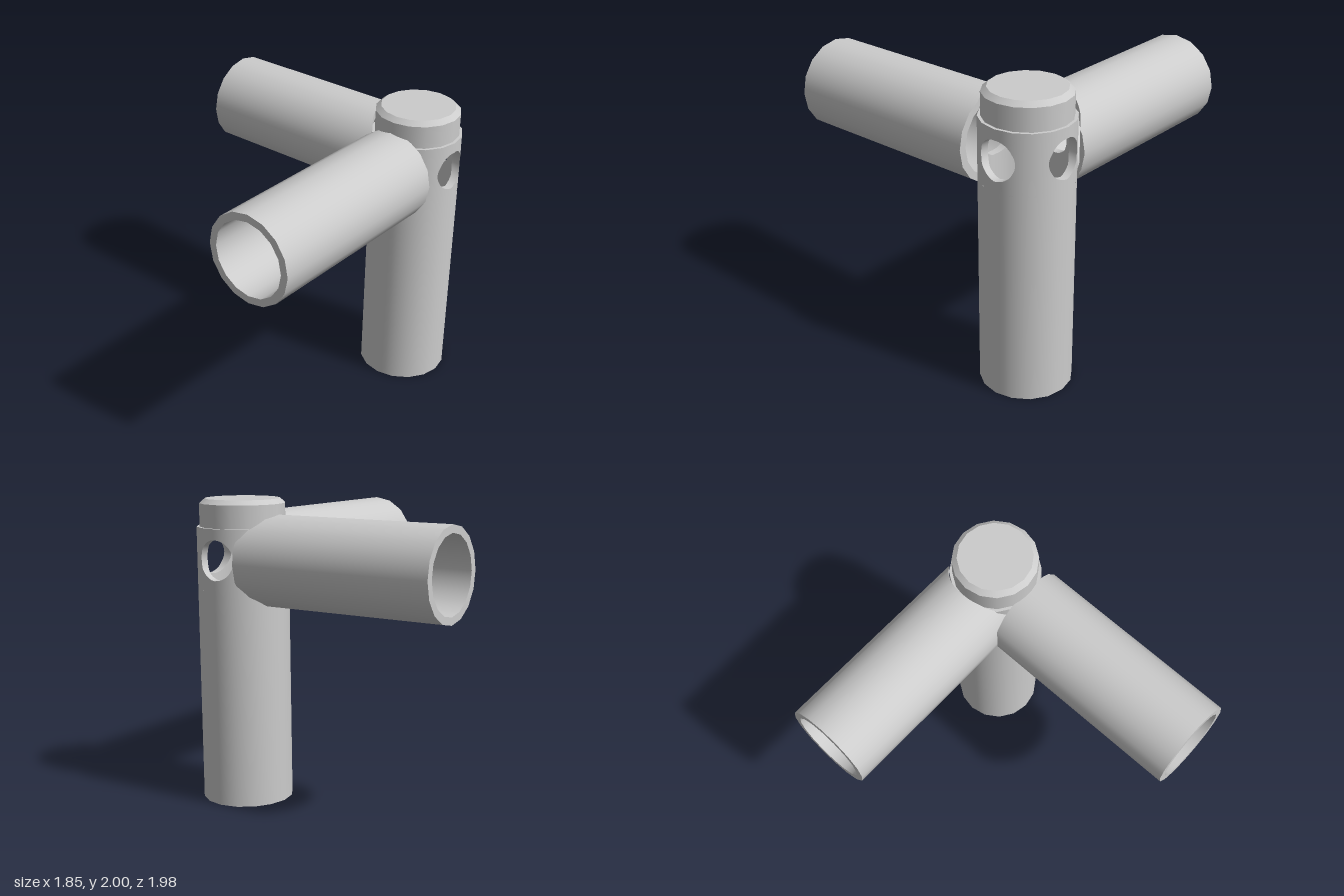
import * as THREE from 'three';

const SIDES = 16, R = 0.3, RI = 0.25, LENGTH = 1.4;
const POST = [0.62, 0, -0.68], POST_TOP = 1.82, ARM_Y = 1.605;
const HOLE_Y = 1.62, HOLE_R = 0.13, PANEL = 0.2;
const material = new THREE.MeshStandardMaterial({ color: 0xcccccc, side: THREE.DoubleSide });

// Closed strip between two loops; radial = 1 / -1 gives smooth outward / inward tube normals
function band(name, from, to, n, rows = 1, radial = 0, project = p => p) {
  const pos = [], index = [];
  for (let j = 0; j <= rows; j++) {
    for (let i = 0; i < n; i++) {
      const p = new THREE.Vector3(...from(i / n)).lerp(new THREE.Vector3(...to(i / n)), j / rows);
      pos.push(...project(p).toArray());
      if (j === rows) continue;
      const a = j * n + i, b = j * n + (i + 1) % n;
      index.push(a, a + n, b, b, a + n, b + n);
    }
  }
  const g = new THREE.BufferGeometry();
  g.setAttribute('position', new THREE.Float32BufferAttribute(pos, 3));
  g.setIndex(index);
  g.computeVertexNormals();
  if (radial) {
    const p = g.attributes.position, v = new THREE.Vector3();
    for (let i = 0; i < p.count; i++) {
      v.set(p.getX(i), 0, p.getZ(i)).normalize().multiplyScalar(radial);
      g.attributes.normal.setXYZ(i, v.x, v.y, v.z);
    }
  }
  const mesh = new THREE.Mesh(g, material);
  mesh.name = name;
  return mesh;
}

// Upright pipe whose top height follows the rule end(x, z)
function pipe(name, end, openTop = false) {
  const sub = 4, n = SIDES * sub;
  const loop = (r, height) => u => {
    const k = Math.floor(u * SIDES + 1e-9), f = u * SIDES - k, step = 2 * Math.PI / SIDES;
    const x = r * THREE.MathUtils.lerp(Math.cos(k * step), Math.cos((k + 1) * step), f);
    const z = r * THREE.MathUtils.lerp(Math.sin(k * step), Math.sin((k + 1) * step), f);
    return [x, height(x, z), z];
  };
  const zero = () => 0;
  const group = new THREE.Group();
  group.name = name;
  group.add(
    band('outerWall', loop(R, zero), loop(R, end), n, 1, 1),
    band('innerWall', loop(RI, end), loop(RI, zero), n, 1, -1),
    band('openRim', loop(RI, zero), loop(R, zero), n));
  if (!openTop) group.add(band('jointRim', loop(R, end), loop(RI, end), n));
  return group;
}

// Quarter of the pipe wall, facing +x, with a round drilled hole
function drilledPanel() {
  const depth = (r, s) => {
    const step = 2 * Math.PI / SIDES, t = Math.abs(s) / r;
    const k = t > Math.sin(step) ? 1 : 0;
    const s0 = Math.sin(k * step), s1 = Math.sin((k + 1) * step);
    return r * THREE.MathUtils.lerp(Math.cos(k * step), Math.cos((k + 1) * step), (t - s0) / (s1 - s0));
  };
  const hole = r => u => {
    const t = 2 * Math.PI * u, s = HOLE_R * Math.cos(t);
    return [depth(r, s), HOLE_Y - HOLE_R * Math.sin(t), s];
  };
  const border = r => u => {
    const c = Math.cos(2 * Math.PI * u), s = Math.sin(2 * Math.PI * u);
    const m = Math.max(Math.abs(c), Math.abs(s)), z = r * Math.SQRT1_2 * c / m;
    return [depth(r, z), HOLE_Y - PANEL * s / m, z];
  };
  const bend = r => p => p.setX(depth(r, p.z));
  const group = new THREE.Group();
  group.name = 'drilledPanel';
  group.add(
    band('outerWall', hole(R), border(R), 48, 6, 1, bend(R)),
    band('innerWall', border(RI), hole(RI), 48, 6, -1, bend(RI)),
    band('holeEdge', hole(RI), hole(R), 48));
  return group;
}

export function createModel() {
  const model = new THREE.Group();
  model.name = 'pipeCorner';

  // Upright post with four drilled holes near the top
  const post = new THREE.Group();
  post.name = 'post';
  post.position.set(...POST);
  post.add(pipe('postPipe', () => HOLE_Y - PANEL, true));
  for (let i = 0; i < 4; i++) {
    const panel = drilledPanel();
    panel.rotation.y = i * Math.PI / 2;
    post.add(panel);
  }
  const ring = r => u => [r * Math.cos(2 * Math.PI * u), POST_TOP, r * Math.sin(2 * Math.PI * u)];
  post.add(band('postRim', ring(R), ring(RI), SIDES));

  // Bevelled plug closing the post
  const plug = new THREE.Mesh(new THREE.CylinderGeometry(0.28, 0.28, 0.17, SIDES), material);
  plug.name = 'plug';
  plug.position.y = 1.885;
  const bevel = new THREE.Mesh(new THREE.CylinderGeometry(0.245, 0.28, 0.03, SIDES), material);
  bevel.name = 'plugBevel';
  bevel.position.y = 1.985;
  post.add(plug, bevel);

  // Arms: the inner end is saddle-cut around the post, up to the arm's full length
  const saddle = (reach, lateral) =>
    Math.min(LENGTH, reach - Math.sqrt(Math.max(0, R * R - lateral * lateral)));
  const sideArm = pipe('sideArm', (x, z) => saddle(1.55, z));
  sideArm.position.set(-0.93, ARM_Y, -0.69);
  sideArm.rotation.z = -Math.PI / 2;
  const frontArm = pipe('frontArm', x => saddle(1.67, x));
  frontArm.position.set(0.62, ARM_Y, 0.99);
  frontArm.rotation.x = -Math.PI / 2;

  model.add(post, sideArm, frontArm);
  return model;
}
